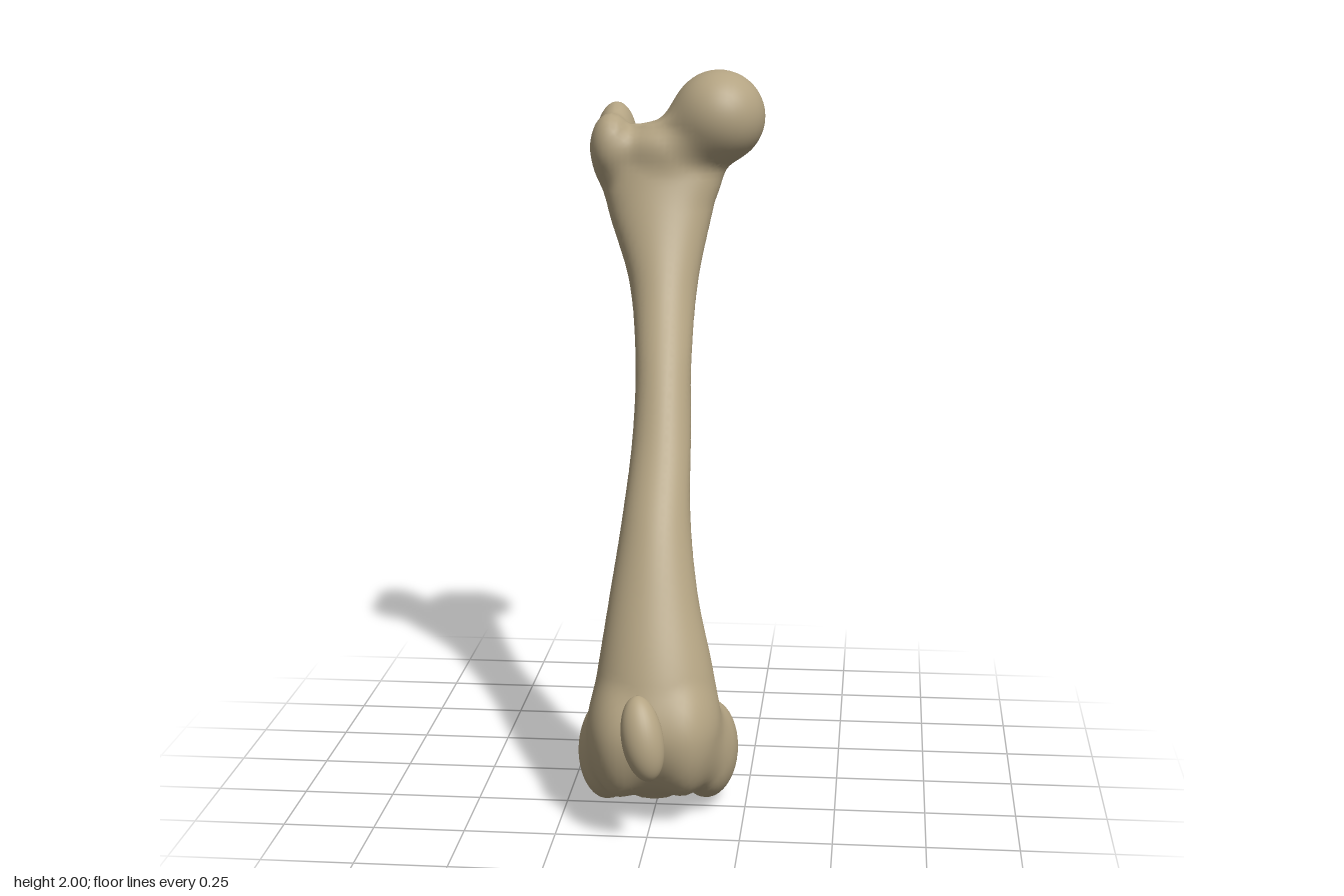
import * as THREE from 'three';

// Shaft cross-sections: height, right edge, left edge, back edge, front edge
const RINGS = [
  [0.05, -0.05, 0.05, 0.26, 0.34],
  [0.12, -0.14, 0.14, 0.20, 0.42],
  [0.25, -0.18, 0.185, 0.16, 0.48],
  [0.40, -0.158, 0.163, 0.145, 0.435],
  [0.60, -0.13, 0.115, 0.12, 0.34],
  [0.80, -0.105, 0.085, 0.03, 0.23],
  [1.00, -0.09, 0.075, -0.09, 0.09],
  [1.20, -0.095, 0.065, -0.225, -0.04],
  [1.40, -0.13, 0.07, -0.41, -0.18],
  [1.60, -0.205, 0.105, -0.53, -0.285],
  [1.72, -0.23, 0.13, -0.53, -0.332],
  [1.80, -0.19, 0.08, -0.49, -0.345],
  [1.84, -0.13, 0.02, -0.46, -0.38],
];
const Y_MIN = RINGS[0][0], Y_MAX = RINGS[RINGS.length - 1][0];
const profile = new THREE.CubicInterpolant(
  RINGS.map((r) => r[0]), RINGS.flatMap((r) => r.slice(1)), 4, new Float32Array(4));

// Approximate distance to an ellipsoid; dx, dy, dz are measured from its centre
function ellipsoidDistance(dx, dy, dz, rx, ry, rz) {
  const k0 = Math.hypot(dx / rx, dy / ry, dz / rz) + 1e-6;
  const k1 = Math.hypot(dx / rx ** 2, dy / ry ** 2, dz / rz ** 2) + 1e-5;
  return (k0 * (k0 - 1)) / k1;
}

function shaft(x, y, z) {
  const yc = THREE.MathUtils.clamp(y, Y_MIN, Y_MAX);
  const [x0, x1, z0, z1] = profile.evaluate(yc);
  const rx = Math.max((x1 - x0) / 2, 0.02), rz = Math.max((z1 - z0) / 2, 0.02);
  const d = ellipsoidDistance(x - (x0 + x1) / 2, 0, z - (z0 + z1) / 2, rx, 1, rz);
  return y === yc ? d : Math.hypot(Math.max(d, 0), y - yc);
}

const ellipsoid = ([cx, cy, cz], [rx, ry, rz]) => (x, y, z) =>
  ellipsoidDistance(x - cx, y - cy, z - cz, rx, ry, rz);

// Rounded rod between two points, with a radius at each end
const rod = ([ax, ay, az], [bx, by, bz], ra, rb) => {
  const ux = bx - ax, uy = by - ay, uz = bz - az, uu = ux * ux + uy * uy + uz * uz;
  return (x, y, z) => {
    const t = THREE.MathUtils.clamp(((x - ax) * ux + (y - ay) * uy + (z - az) * uz) / uu, 0, 1);
    return Math.hypot(x - ax - ux * t, y - ay - uy * t, z - az - uz * t) - ra - (rb - ra) * t;
  };
};

// Each swelling of the bone and how softly it melts into the rest
const SWELLINGS = [
  // neck and ball head
  [rod([-0.03, 1.76, -0.43], [0.12, 1.865, -0.44], 0.085, 0.085), 0.05],
  [ellipsoid([0.118, 1.865, -0.435], [0.135, 0.135, 0.138]), 0.06],
  // greater trochanter: front lobe, rear lobe, ridge running down the back
  [ellipsoid([-0.195, 1.775, -0.41], [0.062, 0.10, 0.08]), 0.04],
  [ellipsoid([-0.192, 1.775, -0.525], [0.063, 0.125, 0.092]), 0.04],
  [rod([-0.18, 1.72, -0.54], [-0.08, 1.48, -0.43], 0.05, 0.04), 0.05],
  // condyles
  [ellipsoid([-0.137, 0.145, 0.19], [0.086, 0.143, 0.157]), 0.05],
  [ellipsoid([0.14, 0.155, 0.20], [0.086, 0.135, 0.157]), 0.05],
  // rims either side of the kneecap groove
  [ellipsoid([-0.085, 0.22, 0.37], [0.075, 0.15, 0.10]), 0.05],
  [ellipsoid([0.085, 0.225, 0.37], [0.075, 0.145, 0.10]), 0.05],
];

function boneField(x, y, z) {
  let d = shaft(x, y, z);
  for (const [part, k] of SWELLINGS) {
    const e = part(x, y, z);
    const h = Math.max(k - Math.abs(d - e), 0) / k;
    d = Math.min(d, e) - (h * h * k) / 4;
  }
  return d;
}

function gradient(field, [x, y, z], h = 0.004) {
  return [
    (field(x + h, y, z) - field(x - h, y, z)) / (2 * h),
    (field(x, y + h, z) - field(x, y - h, z)) / (2 * h),
    (field(x, y, z + h) - field(x, y, z - h)) / (2 * h),
  ];
}

// Wraps one smooth skin around the zero level of a field
function skinGeometry(field, min, max, step) {
  const n = min.map((m, i) => Math.ceil((max[i] - m) / step) + 1);
  const stride = [1, n[0], n[0] * n[1]];
  const values = new Float32Array(n[0] * n[1] * n[2]);
  const eachPoint = (fn) => {
    for (let k = 0, id = 0; k < n[2]; k++)
      for (let j = 0; j < n[1]; j++)
        for (let i = 0; i < n[0]; i++, id++) fn([i, j, k], id);
  };
  eachPoint((c, id) => {
    values[id] = field(...c.map((v, a) => min[a] + v * step));
  });

  // One vertex in every cell the surface crosses, pulled onto the surface
  const cellVertex = new Int32Array(values.length).fill(-1);
  const positions = [], normals = [], index = [];
  eachPoint((c, id) => {
    if (c.some((v, a) => v >= n[a] - 1)) return;
    const sum = [0, 0, 0];
    let crossings = 0;
    for (let corner = 0; corner < 8; corner++) {
      const o = [corner & 1, (corner >> 1) & 1, corner >> 2];
      const from = id + o[0] + o[1] * stride[1] + o[2] * stride[2];
      for (let a = 0; a < 3; a++) {
        if (o[a]) continue;
        const v0 = values[from], v1 = values[from + stride[a]];
        if (v0 < 0 === v1 < 0) continue;
        for (let b = 0; b < 3; b++) sum[b] += o[b] + (b === a ? v0 / (v0 - v1) : 0);
        crossings++;
      }
    }
    if (!crossings) return;
    const p = sum.map((s, a) => min[a] + (c[a] + s / crossings) * step);
    for (let pass = 0; pass < 2; pass++) {
      const g = gradient(field, p);
      const move = field(...p) / Math.max(g[0] ** 2 + g[1] ** 2 + g[2] ** 2, 0.25);
      for (let a = 0; a < 3; a++) p[a] -= THREE.MathUtils.clamp(move * g[a], -step / 3, step / 3);
    }
    cellVertex[id] = positions.length / 3;
    positions.push(...p);
    normals.push(...new THREE.Vector3(...gradient(field, p, 0.008)).normalize().toArray());
  });

  // One quad around every grid edge the surface crosses
  eachPoint((c, id) => {
    for (let a = 0; a < 3; a++) {
      const b = (a + 1) % 3, d = (a + 2) % 3;
      if (c[a] >= n[a] - 1 || !c[b] || !c[d]) continue;
      const inside = values[id] < 0;
      if (inside === values[id + stride[a]] < 0) continue;
      const q = [id, id - stride[b], id - stride[b] - stride[d], id - stride[d]].map((v) => cellVertex[v]);
      if (!inside) q.reverse();
      index.push(q[0], q[1], q[2], q[0], q[2], q[3]);
    }
  });

  const geometry = new THREE.BufferGeometry();
  geometry.setAttribute('position', new THREE.Float32BufferAttribute(positions, 3));
  geometry.setAttribute('normal', new THREE.Float32BufferAttribute(normals, 3));
  geometry.setIndex(index);
  return geometry;
}

// Kneecap: a flattened egg, flatter behind and bowed back at the top
function kneecapGeometry() {
  const geometry = new THREE.SphereGeometry(1, 32, 24);
  const pos = geometry.attributes.position;
  for (let i = 0; i < pos.count; i++) {
    const x = pos.getX(i), y = pos.getY(i), z = pos.getZ(i);
    const depth = z > 0 ? 0.054 : 0.038;
    pos.setXYZ(i, x * 0.057 - y * 0.016, y * 0.112, z * depth - y * 0.018 - y * y * 0.008);
  }
  geometry.computeVertexNormals();
  return geometry;
}

export function createModel() {
  const bone = new THREE.MeshStandardMaterial({ color: 0xb3a382 });
  bone.name = 'bone';
  const model = new THREE.Group();
  model.name = 'thighBoneWithKneecap';

  const thighBone = new THREE.Mesh(
    skinGeometry(boneField, [-0.31, -0.05, -0.67], [0.31, 2.05, 0.54], 0.018), bone);
  thighBone.name = 'thighBone';

  const kneecap = new THREE.Mesh(kneecapGeometry(), bone);
  kneecap.name = 'kneecap';
  kneecap.position.set(-0.005, 0.302, 0.56);

  model.add(thighBone, kneecap);
  return model;
}
